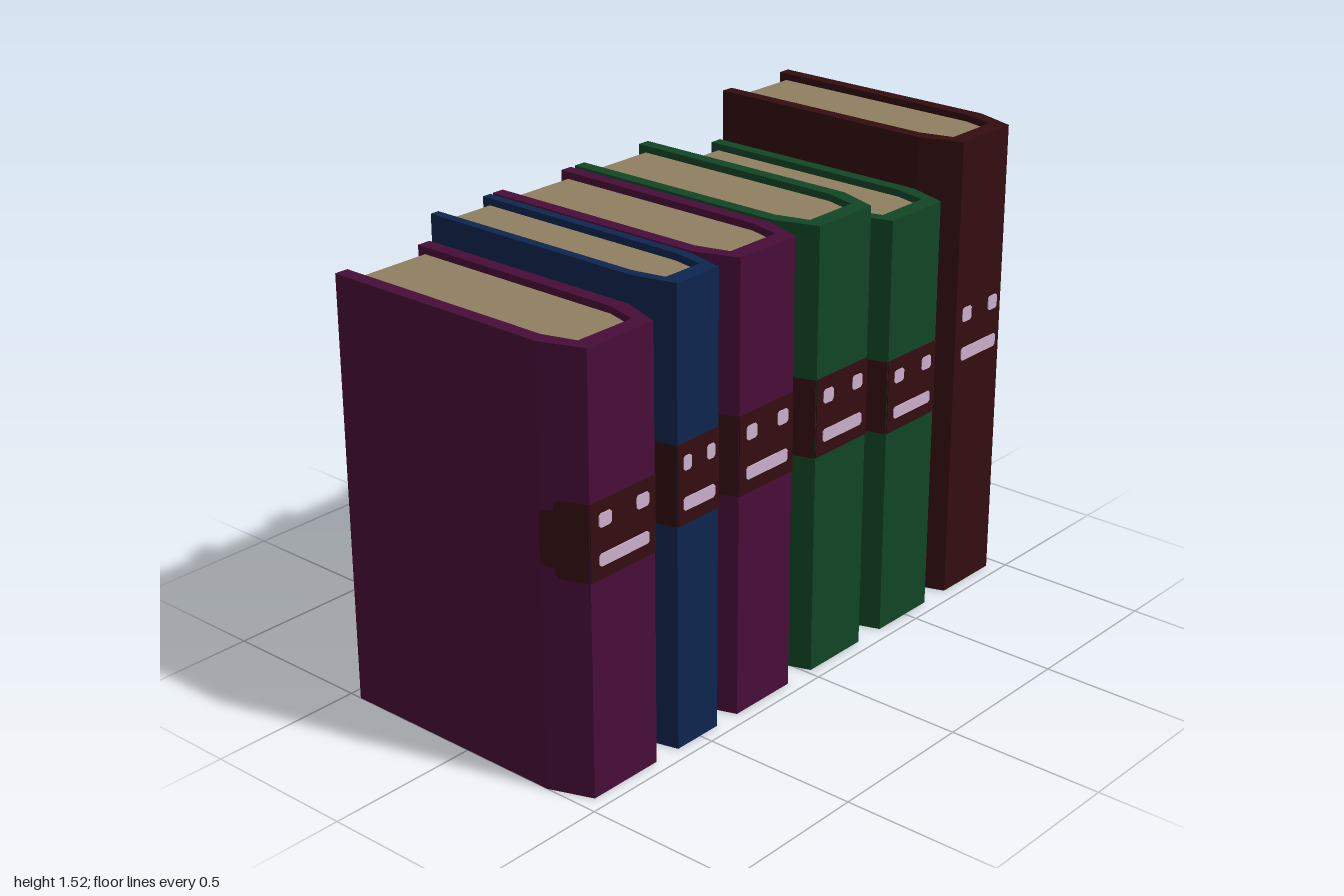
import * as THREE from 'three';

const mat = (name, color, side = THREE.FrontSide) => {
  const m = new THREE.MeshStandardMaterial({ color, side });
  m.name = name;
  return m;
};

// Book sizes: centre z, thickness, height, cover colour, spine liner colour
const BOOKS = [
  [0.82, 0.36, 1.355, 'purple', 'red'],
  [0.51, 0.24, 1.435, 'navy', 'purple'],
  [0.213, 0.333, 1.435, 'purple', 'red'],
  [-0.138, 0.333, 1.435, 'green', 'navy'],
  [-0.487, 0.333, 1.36, 'green', 'navy'],
  [-0.834, 0.332, 1.52, 'maroon', null],
];
const BACK = -0.458, SPINE = 0.455, BEND = 0.32; // x positions of the cover
const RECESS = 0.022; // pages sit below the cover edges

const polygon = (pts) => new THREE.Shape(pts.map(([x, y]) => new THREE.Vector2(x, y)));

// Upright prism from a plan outline in x and z
function prism(pts, y0, y1) {
  const g = new THREE.ExtrudeGeometry(polygon(pts), { depth: y1 - y0, bevelEnabled: false });
  return g.rotateX(-Math.PI / 2).translate(0, y0, 0);
}

// Half an outline, completed by mirroring across z = 0
const mirrored = (half) => [...half, ...half.map(([x, z]) => [x, -z]).reverse()];

// Thin plate with clipped corners, facing +x
function plate(width, height, clip) {
  const a = width / 2, b = height / 2;
  const pts = [[-a + clip, -b], [a - clip, -b], [a, -b + clip], [a, b - clip],
    [a - clip, b], [-a + clip, b], [-a, b - clip], [-a, -b + clip]];
  const g = new THREE.ExtrudeGeometry(polygon(pts), { depth: 0.003, bevelEnabled: false });
  return g.rotateY(Math.PI / 2);
}

export function createModel() {
  const mats = {
    purple: mat('purple', 0x470d38),
    navy: mat('navy', 0x0d254f),
    green: mat('green', 0x114525),
    maroon: mat('maroon', 0x330d10, THREE.DoubleSide),
    red: mat('red', 0x9a2610),
    paper: mat('paper', 0x907f60),
    pink: mat('pink', 0xcbaecb),
  };
  const model = new THREE.Group();
  model.name = 'bookRow';

  BOOKS.forEach(([z, w, h, coverColor, linerColor]) => {
    const book = new THREE.Group();
    book.name = 'book';
    book.position.z = z;
    model.add(book);
    const add = (name, geometry, color, x = 0, y = 0, dz = 0) => {
      const m = new THREE.Mesh(geometry, mats[color]);
      m.name = name;
      m.position.set(x, y, dz);
      book.add(m);
      return m;
    };

    // Cover: boards and a spine with angled shoulders
    const a = w / 2, b = 0.36 * w, ai = 0.375 * w, bi = 0.29 * w;
    add('cover', prism(mirrored([
      [0.40, -bi], [0.295, -ai], [BACK, -ai], [BACK, -a], [BEND, -a], [SPINE, -b],
    ]).reverse(), 0, h), coverColor);

    // Page block, with a coloured liner strip by the spine
    const mid = ai + (bi - ai) * 0.667;
    const end = linerColor ? [0.365, -mid] : [0.40, -bi];
    add('pages', prism(mirrored([[-0.43, -ai], [0.295, -ai], end]), RECESS, h - RECESS), 'paper');
    if (linerColor) {
      add('spineLiner', prism(mirrored([[0.365, -mid], [0.40, -bi]]), RECESS, h - RECESS), linerColor);
    }

    // Label band folded around the spine, with stepped ends
    if (coverColor !== 'maroon') {
      const bandY = 0.583 * h, half = 0.087 * h;
      add('spineBand', plate(2 * b, 2 * half, 0), 'maroon', SPINE, bandY);
      const edge = [[SPINE, half], [0.372, half], [0.36, half * 0.88], [0.36, half * 0.74],
        [0.332, half * 0.7], [0.319, half * 0.6]];
      const shoulder = new THREE.ShapeGeometry(polygon(mirrored(edge).reverse()));
      const p = shoulder.attributes.position;
      for (let i = 0; i < p.count; i++) {
        const t = (p.getX(i) - BEND) / (SPINE - BEND);
        p.setZ(i, a + (b - a) * t + 0.004);
      }
      shoulder.computeVertexNormals();
      add('bandShoulder', shoulder, 'maroon', 0, bandY);
      add('bandShoulder', shoulder, 'maroon', 0, bandY).scale.z = -1;
    }

    // Simple face: two eyes and a straight mouth
    const faceX = SPINE + 0.004;
    for (const s of [-1, 1]) {
      add('eye', plate(0.139 * w, 0.031 * h, 0.007), 'pink', faceX, 0.627 * h, s * 0.208 * w);
    }
    add('mouth', plate(0.555 * w, 0.028 * h, 0.007), 'pink', faceX, 0.54 * h);
  });
  return model;
}
